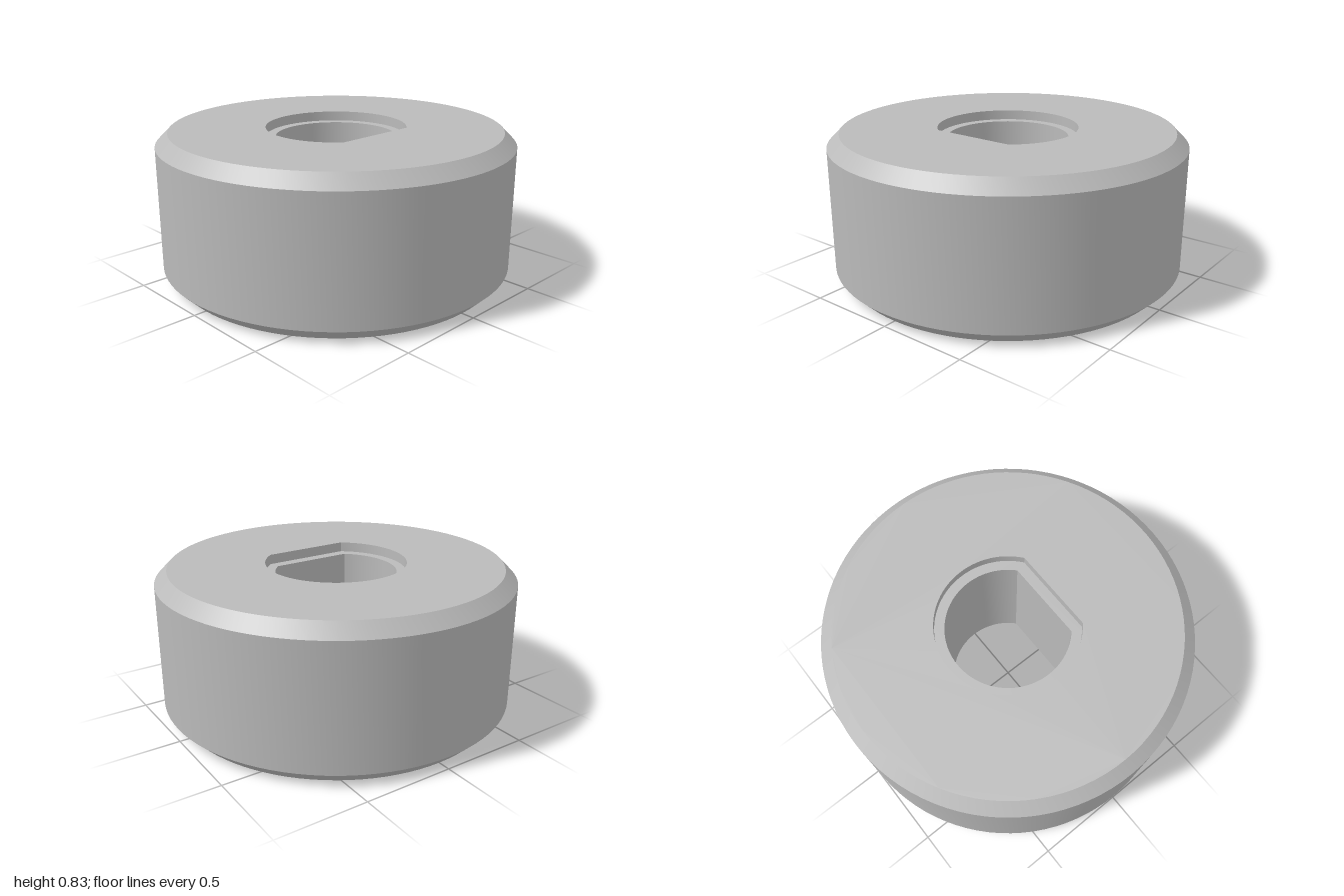
import * as THREE from 'three';
import { toCreasedNormals } from 'three/addons/utils/BufferGeometryUtils.js';

const HEIGHT = 0.83, CHAMFER = 0.07, LEDGE_Y = 0.775;
const BOSS_R = 0.545, GROOVE_R = 0.67, GROOVE_DEPTH = 0.07;
const SEGMENTS = 96;

// D-shaped outline: a circle cut by a flat on the +z side
function dPoints(radius, flat) {
  const a = Math.asin(flat / radius);
  const points = [];
  for (let i = 0; i <= 72; i++) {
    const t = -a + (Math.PI + 2 * a) * (i / 72);
    points.push(new THREE.Vector2(radius * Math.cos(t), radius * Math.sin(t)));
  }
  return points;
}

function circlePoints(radius) {
  return Array.from({ length: SEGMENTS }, (_, i) => {
    const t = (i / SEGMENTS) * Math.PI * 2;
    return new THREE.Vector2(radius * Math.sin(t), -radius * Math.cos(t));
  });
}

// Horizontal face with a hole, looking up or down
function flatFace(outline, hole, y, up) {
  const shape = new THREE.Shape(outline);
  shape.holes.push(new THREE.Path(hole));
  const geometry = new THREE.ShapeGeometry(shape);
  geometry.rotateX(-Math.PI / 2);
  if (!up) {
    const index = geometry.index;
    for (let i = 0; i < index.count; i += 3) {
      const b = index.getX(i + 1);
      index.setX(i + 1, index.getX(i + 2));
      index.setX(i + 2, b);
    }
    geometry.computeVertexNormals();
  }
  return geometry.translate(0, y, 0);
}

// Vertical wall facing into the hole
function holeWall(points, y0, y1) {
  const positions = [];
  points.forEach((a, i) => {
    const b = points[(i + 1) % points.length];
    positions.push(a.x, y0, -a.y, b.x, y1, -b.y, b.x, y0, -b.y);
    positions.push(a.x, y0, -a.y, a.x, y1, -a.y, b.x, y1, -b.y);
  });
  const geometry = new THREE.BufferGeometry();
  geometry.setAttribute('position', new THREE.Float32BufferAttribute(positions, 3));
  return toCreasedNormals(geometry, 0.5);
}

export function createModel() {
  const model = new THREE.Group();
  model.name = 'collar';
  const grey = new THREE.MeshStandardMaterial({ color: 0xbababa });
  grey.name = 'grey metal';

  const add = (name, geometry) => {
    const mesh = new THREE.Mesh(geometry, grey);
    mesh.name = name;
    model.add(mesh);
  };

  // Underside groove, chamfers and rim in one turned profile
  const profile = [
    [BOSS_R, 0], [BOSS_R, GROOVE_DEPTH], [GROOVE_R, GROOVE_DEPTH], [GROOVE_R, 0],
    [1 - CHAMFER, 0], [1, CHAMFER], [1, HEIGHT - CHAMFER], [1 - CHAMFER, HEIGHT],
  ].map(([x, y]) => new THREE.Vector2(x, y));
  add('body', toCreasedNormals(new THREE.LatheGeometry(profile, SEGMENTS), 0.5));

  // Stepped D-shaped bore
  const recess = dPoints(0.395, 0.31);
  const bore = dPoints(0.34, 0.25);
  add('topFace', flatFace(circlePoints(1 - CHAMFER), recess, HEIGHT, true));
  add('recessWall', holeWall(recess, LEDGE_Y, HEIGHT));
  add('recessLedge', flatFace(recess, bore, LEDGE_Y, true));
  add('boreWall', holeWall(bore, 0, LEDGE_Y));
  add('bossFace', flatFace(circlePoints(BOSS_R), bore, 0, false));

  return model;
}
